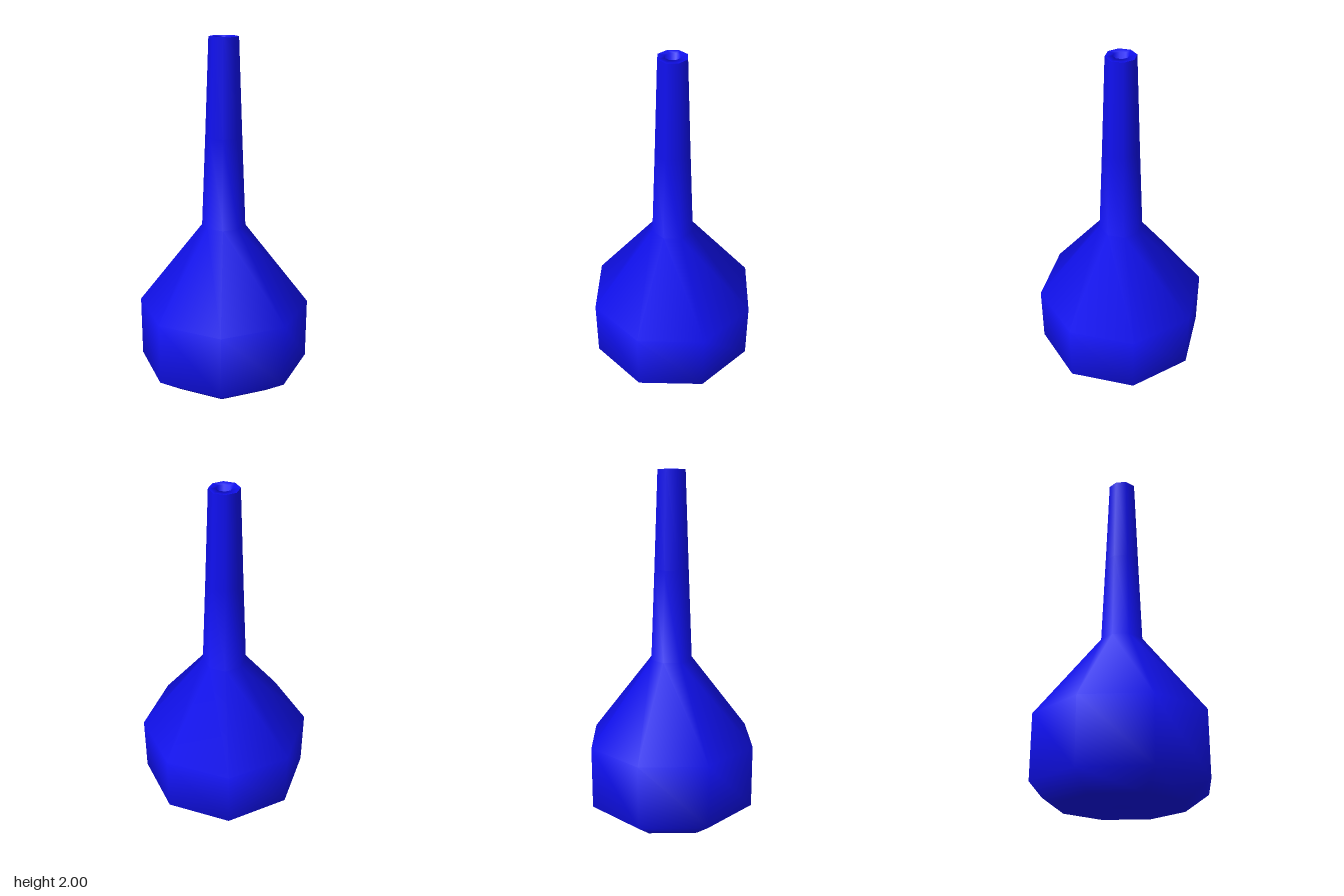
import * as THREE from 'three';

const SIDES = 8;

// Turn a list of [radius, height] pairs into an eight-sided lathe mesh
function turned(name, profile, material) {
  const points = profile.map(([r, y]) => new THREE.Vector2(r, y));
  const mesh = new THREE.Mesh(new THREE.LatheGeometry(points, SIDES), material);
  mesh.name = name;
  return mesh;
}

export function createModel() {
  const group = new THREE.Group();
  group.name = 'bottle';
  const blue = new THREE.MeshStandardMaterial({ color: 0x1010f0 });

  // Flat base, bevelled foot, straight wall, sloping shoulder and long tapered neck
  group.add(turned('body', [
    [0, 0], [0.355, 0], [0.497, 0.1], [0.497, 0.46],
    [0.125, 0.94], [0.103, 1.46], [0.082, 2],
  ], blue));

  // Flat rim around a small recessed mouth
  group.add(turned('mouth', [
    [0.082, 2], [0.042, 2], [0.04, 1.95], [0, 1.95],
  ], blue));

  return group;
}
